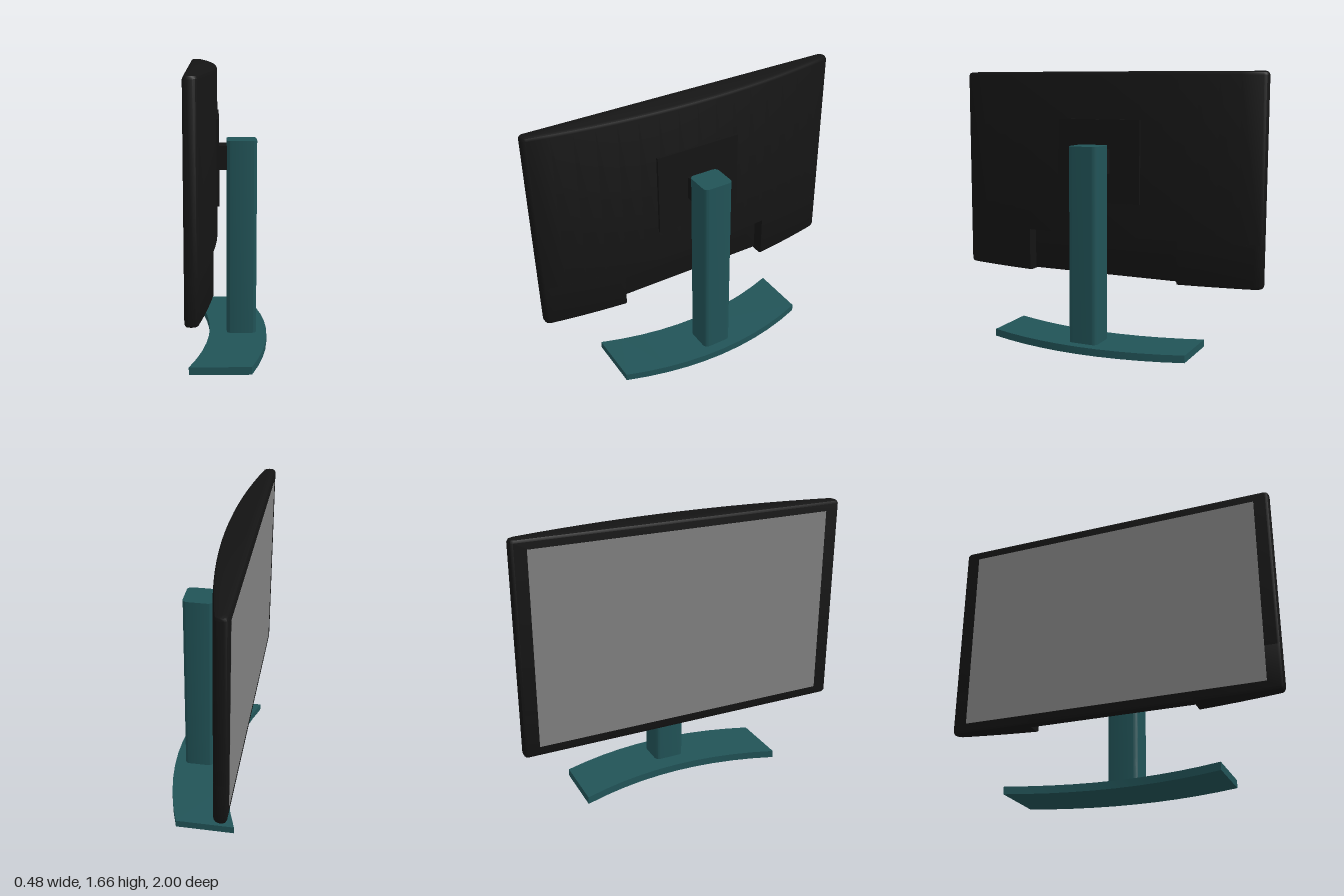
import * as THREE from 'three';
import { toCreasedNormals } from 'three/addons/utils/BufferGeometryUtils.js';

const FRONT = -0.24, FLAT_BACK = -0.17, R = 0.02;
const TOP = 1.665, BOTTOM = 0.4, LEDGE = 0.667;

const black = new THREE.MeshStandardMaterial({ color: 0x141414 });
const teal = new THREE.MeshStandardMaterial({ color: 0x215357 });
const grey = new THREE.MeshStandardMaterial({ color: 0x808080 });

const curvedBack = (z) => -0.065 - 0.105 * z * z;
const flatBack = () => FLAT_BACK;

// Horizontal outline of the housing between z0 and z1; outer ends (|z| = 1) are rounded
function outline(z0, z1, back, inset) {
  const pts = [];
  const add = (x, z) => pts.push([x, z]);
  const a = Math.max(z0, -1 + inset), b = Math.min(z1, 1 - inset);
  const ra = z0 === -1 ? R : 0, rb = z1 === 1 ? R : 0;
  const bx = (z) => back(z) - inset, fx = FRONT + inset;
  if (ra) { add(bx(a) - R, a); add(bx(a) - 0.3 * R, a + 0.3 * R); }
  const n = 16;
  for (let i = 0; i <= n; i++) {
    const z = THREE.MathUtils.lerp(a + ra, b - rb, i / n);
    add(bx(z), z);
  }
  if (rb) {
    add(bx(b) - 0.3 * R, b - 0.3 * R); add(bx(b) - R, b);
    add(fx + R, b); add(fx + 0.3 * R, b - 0.3 * R);
  }
  add(fx, b - rb);
  add(fx, a + ra);
  if (ra) { add(fx + 0.3 * R, a + 0.3 * R); add(fx + R, a); }
  return pts;
}

// Stack of outlines at [height, inset] levels, joined and capped
function loft(z0, z1, back, levels) {
  const pos = [], idx = [];
  let n = 0;
  for (const [y, inset] of levels) {
    const ring = outline(z0, z1, back, inset);
    n = ring.length;
    for (const [x, z] of ring) pos.push(x, y, z);
  }
  for (let l = 0; l < levels.length - 1; l++) {
    for (let i = 0; i < n; i++) {
      const j = (i + 1) % n, a = l * n + i, b = l * n + j;
      idx.push(a, a + n, b + n, a, b + n, b);
    }
  }
  const t = (levels.length - 1) * n;
  for (let i = 1; i < n - 1; i++) idx.push(0, i, i + 1, t, t + i + 1, t + i);
  const g = new THREE.BufferGeometry();
  g.setAttribute('position', new THREE.Float32BufferAttribute(pos, 3));
  g.setIndex(idx);
  return toCreasedNormals(g, 0.6);
}

// Extrudes an (x, z) shape upward from y0 to y1
function upright(shape, y0, y1) {
  const g = new THREE.ExtrudeGeometry(shape, { depth: y1 - y0, bevelEnabled: false, curveSegments: 8 });
  g.rotateX(Math.PI / 2).translate(0, y1, 0);
  return toCreasedNormals(g, 0.5);
}

// Box given by its limits
function box(x0, x1, y0, y1, z0, z1) {
  return new THREE.BoxGeometry(x1 - x0, y1 - y0, z1 - z0)
    .translate((x0 + x1) / 2, (y0 + y1) / 2, (z0 + z1) / 2);
}

function roundedRect(x0, x1, z0, z1, r) {
  const s = new THREE.Shape();
  s.moveTo(x0 + r, z0);
  s.lineTo(x1 - r, z0).absarc(x1 - r, z0 + r, r, -Math.PI / 2, 0);
  s.lineTo(x1, z1 - r).absarc(x1 - r, z1 - r, r, 0, Math.PI / 2);
  s.lineTo(x0 + r, z1).absarc(x0 + r, z1 - r, r, Math.PI / 2, Math.PI);
  s.lineTo(x0, z0 + r).absarc(x0 + r, z0 + r, r, Math.PI, Math.PI * 1.5);
  return s;
}

// Crescent foot: the same shallow arc on both long edges
function footShape() {
  const half = 0.635, n = 10, pts = [];
  const bow = (z) => 0.115 * (1 - (z / half) ** 2);
  for (let i = 0; i <= n; i++) {
    const z = -half + (2 * half * i) / n;
    pts.push(new THREE.Vector2(0.12 + bow(z), z));
  }
  for (let i = n; i >= 0; i--) {
    const z = -half + (2 * half * i) / n;
    pts.push(new THREE.Vector2(-0.23 + bow(z), z));
  }
  return new THREE.Shape(pts);
}

export function createModel() {
  const model = new THREE.Group();
  model.name = 'monitor';
  const add = (name, geometry, material, parent = model) => {
    const m = new THREE.Mesh(geometry, material);
    m.name = name;
    parent.add(m);
  };

  // Housing: bowed back, with a recess cut into the lower middle
  const housing = new THREE.Group();
  housing.name = 'housing';
  model.add(housing);
  const topEdge = [[TOP - R, 0], [TOP - 0.3 * R, 0.3 * R], [TOP, R]];
  const bottomEdge = [[BOTTOM, R], [BOTTOM + 0.3 * R, 0.3 * R], [BOTTOM + R, 0]];
  const lower = [...bottomEdge, [LEDGE, 0]];
  add('upperHousing', loft(-1, 1, curvedBack, [[LEDGE, 0], ...topEdge]), black, housing);
  add('lowerHousingRight', loft(-1, -0.5, curvedBack, lower), black, housing);
  add('lowerHousingLeft', loft(0.5, 1, curvedBack, lower), black, housing);
  add('recessPanel', loft(-0.5, 0.5, flatBack, lower), black, housing);

  // Display surface
  add('screen', box(FRONT - 0.002, FRONT + 0.01, 0.46, 1.605, -0.91, 0.91), grey);

  // Mount
  add('mountPlate', box(-0.12, -0.056, 0.875, 1.38, -0.27, 0.27), black);
  add('mountArm', box(-0.07, 0.0, 1.055, 1.2, -0.075, 0.075), black);

  // Stand
  add('column', upright(roundedRect(-0.01, 0.17, -0.093, 0.093, 0.03), 0.04, 1.23), teal);
  add('foot', upright(footShape(), 0, 0.045), teal);
  return model;
}
